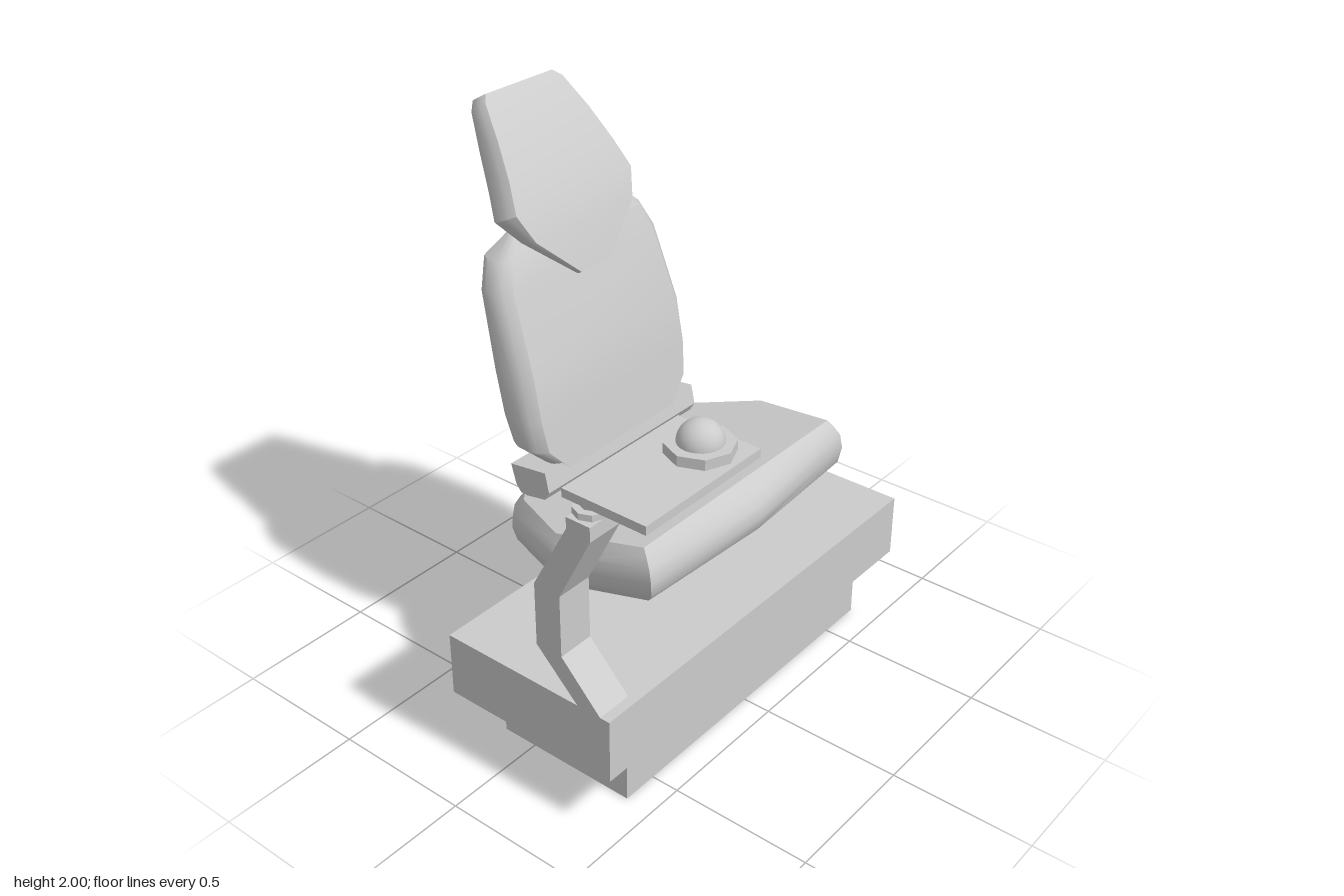
import * as THREE from 'three';
import { toCreasedNormals } from 'three/addons/utils/BufferGeometryUtils.js';

const material = new THREE.MeshStandardMaterial({ color: 0xcccccc });

// Padded cushion. Stations run along its length: [faceX, faceY, backX, backY, halfWidth].
// Layers run through its thickness: [depth 0..1, width scale, length scale].
function cushionGeometry(stations, layers) {
  const n = stations.length, ring = 2 * n, pos = [], idx = [];
  const at = (s, t) => [s[0] + (s[2] - s[0]) * t, s[1] + (s[3] - s[1]) * t];
  for (const [t, kw, ks] of layers) {
    const a = at(stations[0], t), b = at(stations[n - 1], t);
    const mx = (a[0] + b[0]) / 2, my = (a[1] + b[1]) / 2;
    for (let i = 0; i < ring; i++) {
      const s = stations[i < n ? i : ring - 1 - i];
      const [x, y] = at(s, t);
      pos.push(mx + (x - mx) * ks, my + (y - my) * ks, (i < n ? 1 : -1) * s[4] * kw);
    }
  }
  const quad = (a, b, c, d) => idx.push(a, b, c, a, c, d);
  // padded rim
  for (let j = 0; j < layers.length - 1; j++) {
    for (let i = 0; i < ring; i++) {
      const k = (i + 1) % ring, o = j * ring;
      quad(o + i, o + k, o + ring + k, o + ring + i);
    }
  }
  // face and back
  const e = (layers.length - 1) * ring;
  for (let i = 0; i < n - 1; i++) {
    const r = ring - 1 - i;
    quad(i, r, r - 1, i + 1);
    quad(e + i, e + i + 1, e + r - 1, e + r);
  }
  const g = new THREE.BufferGeometry();
  g.setAttribute('position', new THREE.Float32BufferAttribute(pos, 3));
  g.setIndex(idx);
  return toCreasedNormals(g, 0.6);
}

// Side profile extruded from z0 to z1
function profileGeometry(points, z0, z1) {
  const shape = new THREE.Shape(points.map(([x, y]) => new THREE.Vector2(x, y)));
  return new THREE.ExtrudeGeometry(shape, { depth: z1 - z0, bevelEnabled: false }).translate(0, 0, z0);
}

// Box given by its limits
function boxGeometry(x0, x1, y0, y1, z0, z1) {
  return new THREE.BoxGeometry(x1 - x0, y1 - y0, z1 - z0)
    .translate((x0 + x1) / 2, (y0 + y1) / 2, (z0 + z1) / 2);
}

// Upright faceted disc
function discGeometry(r, y0, y1, x, z, rTop = r) {
  return toCreasedNormals(new THREE.CylinderGeometry(rTop, r, y1 - y0, 8), 0.3)
    .translate(x, (y0 + y1) / 2, z);
}

export function createModel() {
  const model = new THREE.Group();
  model.name = 'controlChair';
  const add = (name, geometry) => {
    const mesh = new THREE.Mesh(geometry, material);
    mesh.name = name;
    model.add(mesh);
    return mesh;
  };

  // pedestal
  add('lowerBase', boxGeometry(-0.13, 0.4, 0, 0.215, -0.66, 0.63));
  add('upperBase', boxGeometry(-0.2, 0.47, 0.225, 0.455, -0.79, 0.79));
  add('seatPost', boxGeometry(-0.07, 0.13, 0.455, 0.7, -0.13, 0.13));

  // seat, from front tip to rear
  add('seatCushion', cushionGeometry([
    [0.44, 0.862, 0.44, 0.69, 0.01],
    [0.4, 0.885, 0.41, 0.685, 0.515],
    [0.04, 0.82, 0.06, 0.625, 0.567],
    [-0.26, 0.765, -0.25, 0.575, 0.43],
    [-0.31, 0.755, -0.3, 0.565, 0.37],
  ], [[0, 0.95, 0.87], [0.12, 0.97, 0.92], [0.3, 0.995, 0.98], [0.55, 1, 1], [0.82, 0.98, 0.97], [1, 0.93, 0.87]]));

  // backrest, from bottom to top
  add('backrest', cushionGeometry([
    [-0.135, 0.835, -0.295, 0.865, 0.28],
    [-0.152, 0.94, -0.312, 0.95, 0.385],
    [-0.168, 1.05, -0.333, 1.05, 0.4],
    [-0.195, 1.2, -0.365, 1.2, 0.4],
    [-0.285, 1.46, -0.425, 1.45, 0.378],
    [-0.317, 1.55, -0.445, 1.55, 0.335],
    [-0.355, 1.62, -0.405, 1.615, 0.245],
  ], [[0, 0.9, 0.99], [0.15, 0.97, 1], [0.35, 1, 1], [0.65, 1, 1], [0.85, 0.96, 1], [1, 0.86, 0.99]]));

  // hinge block under the backrest
  add('backrestHinge', profileGeometry([
    [-0.295, 0.865], [-0.275, 0.795], [-0.255, 0.77], [-0.16, 0.765], [-0.13, 0.815], [-0.145, 0.885],
  ], -0.38, 0.38));

  // headrest, from bottom to top
  add('headrest', cushionGeometry([
    [-0.243, 1.455, -0.265, 1.445, 0.075],
    [-0.285, 1.6, -0.36, 1.585, 0.245],
    [-0.325, 1.69, -0.43, 1.64, 0.288],
    [-0.376, 1.78, -0.475, 1.715, 0.258],
    [-0.45, 1.885, -0.54, 1.83, 0.223],
    [-0.53, 1.98, -0.6, 1.935, 0.187],
    [-0.553, 2.0, -0.617, 1.962, 0.16],
  ], [[0, 0.95, 1], [0.2, 0.99, 1], [0.4, 1, 1], [0.7, 1, 1], [1, 0.92, 1]]));

  // bent side arm
  add('armSupport', profileGeometry([
    [0.344, 0.455], [0.434, 0.455], [0.285, 0.61], [0.285, 0.83], [0.41, 1.075],
    [0.41, 1.125], [0.32, 1.125], [0.32, 1.085], [0.185, 0.835], [0.185, 0.61],
  ], 0.66, 0.79));

  // swivel under the tray
  add('swivelDisc', discGeometry(0.055, 1.125, 1.147, 0.358, 0.725));
  add('swivelNeck', discGeometry(0.03, 1.147, 1.18, 0.358, 0.725, 0.038));

  // control tray with trackball
  add('tray', boxGeometry(0.3, 0.608, 1.18, 1.21, 0.257, 0.783));
  add('trackballRing', discGeometry(0.11, 1.21, 1.245, 0.48, 0.38));
  const ball = add('trackball', new THREE.SphereGeometry(0.073, 24, 10, 0, Math.PI * 2, 0, Math.PI / 2));
  ball.position.set(0.48, 1.243, 0.38);

  return model;
}
